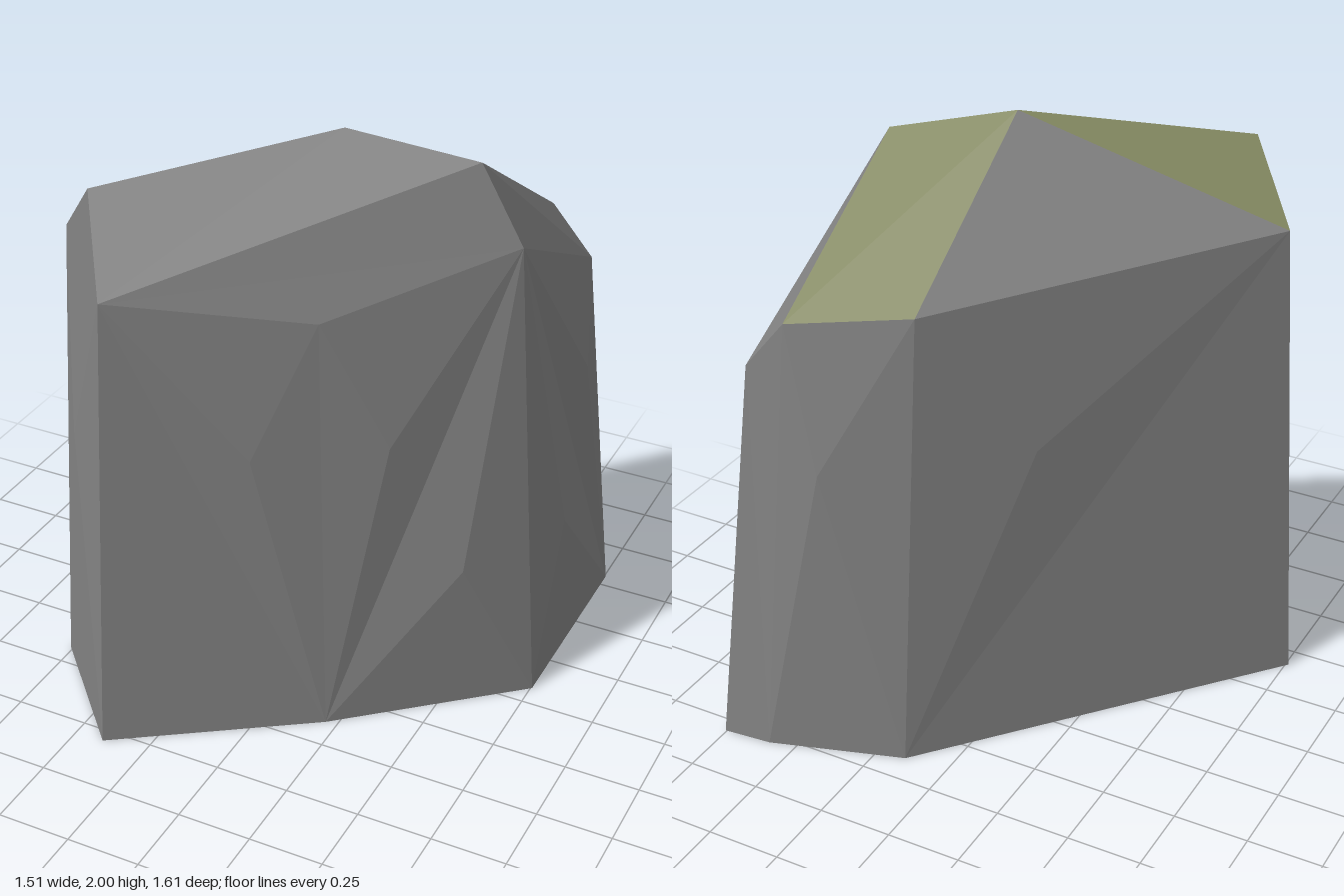
import * as THREE from 'three';

// Corner points of the boulder
const points = {
  // footprint
  a: [-0.76, 0, 0.42], b: [-0.40, 0, 0.80], c: [0.21, 0, 0.39], d: [0.755, 0, -0.08],
  e: [0.755, 0, -0.805], f: [0.59, 0, -0.79], g: [0.15, 0, -0.65],
  // crown
  A: [-0.67, 1.64, 0.41], B: [-0.48, 1.87, 0.57], C: [0.13, 2.0, 0.105], D: [0.52, 1.915, -0.02],
  E: [0.66, 1.66, -0.03], F: [0.66, 1.34, -0.67], G: [0.52, 1.51, -0.66], H: [0.135, 1.56, -0.53],
  I: [-0.355, 1.60, 0.745], J: [0.185, 1.49, 0.39],
  // chips in the sides
  q: [0.02, 1.04, 0.53], r: [0.37, 1.04, 0.27], s: [0.57, 0.55, 0.125], t: [0.755, 0.55, -0.3],
  u: [0.73, 1.03, -0.5], v: [0.40, 1.03, -0.70], w: [-0.14, 1.05, -0.275], x: [-0.51, 1.08, 0.68],
};
const core = new THREE.Vector3(0.1, 0.8, 0);

// Each string is a triangle fan: the apex, then the points around it
function facets(fans) {
  const pos = [];
  for (const fan of fans) {
    const [apex, ...rim] = [...fan].map(k => new THREE.Vector3(...points[k]));
    for (let i = 0; i + 1 < rim.length; i++) {
      const tri = new THREE.Triangle(apex, rim[i], rim[i + 1]);
      const outward = tri.getNormal(new THREE.Vector3()).dot(apex.clone().sub(core)) > 0;
      const order = outward ? [apex, rim[i], rim[i + 1]] : [apex, rim[i + 1], rim[i]];
      order.forEach(p => pos.push(p.x, p.y, p.z));
    }
  }
  const geo = new THREE.BufferGeometry();
  geo.setAttribute('position', new THREE.Float32BufferAttribute(pos, 3));
  geo.computeVertexNormals();
  return geo;
}

export function createModel() {
  const stone = new THREE.MeshStandardMaterial({ color: 0x808080 });
  stone.name = 'stone';
  const moss = new THREE.MeshStandardMaterial({ color: 0x838860 });
  moss.name = 'moss';

  const group = new THREE.Group();
  group.name = 'boulder';
  const add = (name, fans, material) => {
    const mesh = new THREE.Mesh(facets(fans), material);
    mesh.name = name;
    group.add(mesh);
  };

  // Front slope, front wall and narrow left end
  add('frontFaces', ['IbcqJEDCBAxb', 'cqJrEsd', 'EJr'], stone);
  // Wall and shoulder at the +x end
  add('sideFaces', ['EsdteuFD', 'edt', 'euFf', 'FDGf'], stone);
  // Back wall
  add('backFaces', ['vGfgHG', 'AxbagwH', 'wgH'], stone);
  add('topStone', ['ACH'], stone);
  add('base', ['abcdefg'], stone);
  // Mossy patches on top
  add('topMoss', ['ABC', 'CDGH'], moss);
  return group;
}
